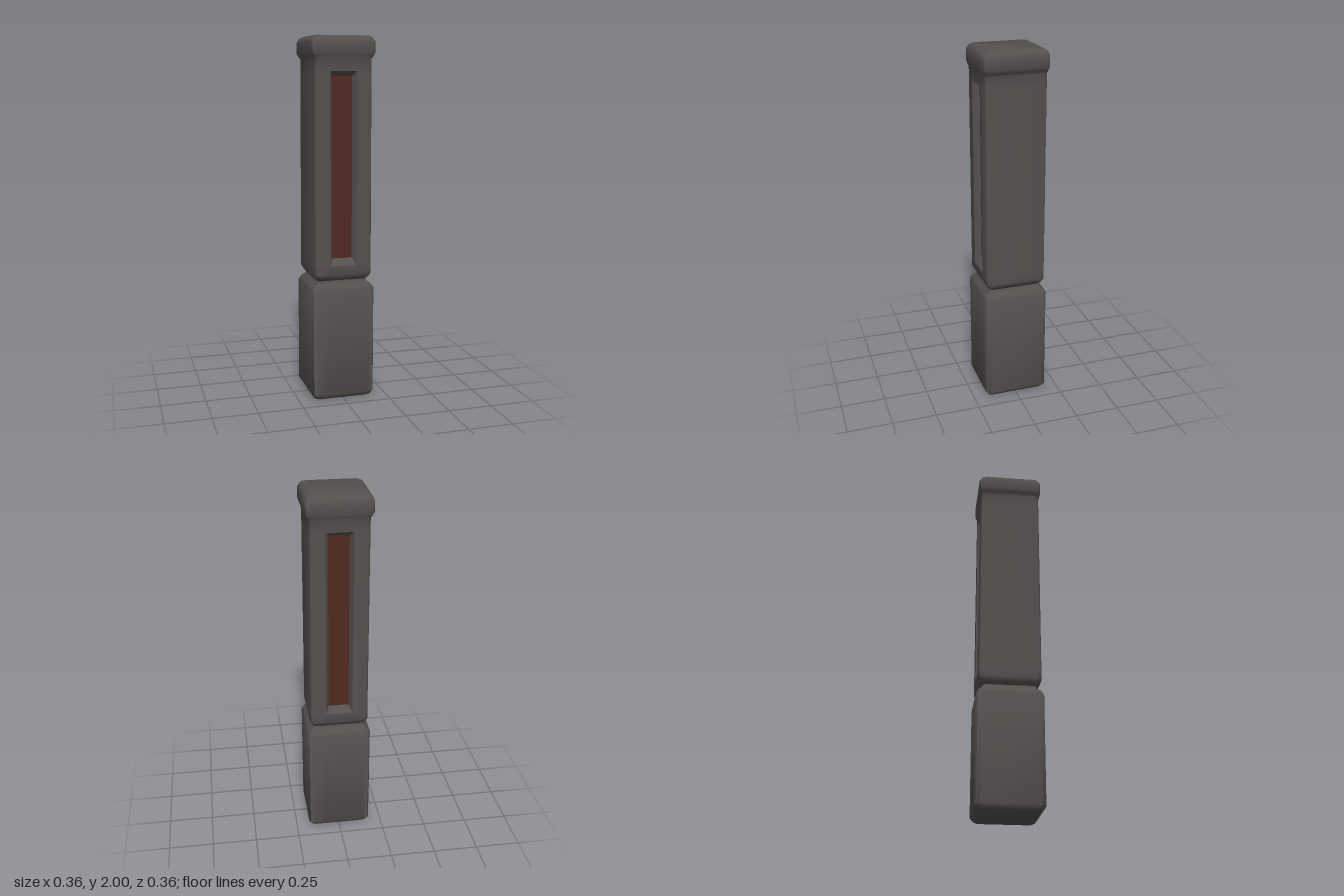
import * as THREE from 'three';
import { toCreasedNormals } from 'three/addons/utils/BufferGeometryUtils.js';

const stone = new THREE.MeshStandardMaterial({ color: 0x54504e });
stone.name = 'dark stone';
const rust = new THREE.MeshStandardMaterial({ color: 0x4f2a20 });
rust.name = 'rust panel';

// Window opening: outer rim, inner rim and depth
const OUT = { w: 0.073, y0: 0.765, y1: 1.815, z: 0.17 };
const INN = { w: 0.056, y0: 0.8, y1: 1.79, z: 0.135 };

// Profile rings: y, half width, half depth, corner size
const RINGS = [
  [0.0, 0.15, 0.152, 0.02],
  [0.008, 0.163, 0.165, 0.023],
  [0.03, 0.178, 0.181, 0.027],
  [0.625, 0.178, 0.181, 0.027],
  [0.645, 0.167, 0.17, 0.024],
  [0.663, 0.145, 0.148, 0.02],
  [0.678, 0.14, 0.144, 0.02],
  [0.692, 0.152, 0.158, 0.02],
  [0.713, 0.163, 0.17, 0.02],
  [OUT.y0, 0.162, OUT.z, 0.02],
  [OUT.y1, 0.159, OUT.z, 0.02],
  [1.88, 0.159, 0.17, 0.02],
  [1.895, 0.171, 0.176, 0.025],
  [1.91, 0.178, 0.181, 0.027],
  [1.97, 0.178, 0.181, 0.027],
  [1.992, 0.166, 0.168, 0.025],
  [2.0, 0.152, 0.154, 0.022],
];

// Rounded rectangle, half of it given and the rest turned by 180 degrees
function ring([y, hx, hz, c]) {
  const k = 0.29 * c;
  const half = [
    [-OUT.w, hz], [OUT.w, hz],
    [hx - c, hz], [hx - k, hz - k], [hx, hz - c],
    [hx, c - hz], [hx - k, k - hz], [hx - c, -hz],
  ];
  return [...half, ...half.map(([x, z]) => [-x, -z])].map(([x, z]) => [x, y, z]);
}

function geometryFrom(triangles) {
  const g = new THREE.BufferGeometry();
  g.setAttribute('position', new THREE.Float32BufferAttribute(triangles.flat(), 3));
  return toCreasedNormals(g, 0.7);
}

const quad = (a, b, c, d) => [a, b, c, a, c, d];

// Pillar shell, left open where the front and back windows sit
function pillarGeometry() {
  const rings = RINGS.map(ring);
  const n = rings[0].length;
  const tris = [];
  for (let j = 0; j < rings.length - 1; j++) {
    for (let i = 0; i < n; i++) {
      if (RINGS[j][0] === OUT.y0 && i % 8 === 0) continue;
      const k = (i + 1) % n;
      tris.push(...quad(rings[j][i], rings[j][k], rings[j + 1][k], rings[j + 1][i]));
    }
  }
  // Closed top and bottom
  const bottom = rings[0], top = rings[rings.length - 1];
  for (let i = 0; i < n; i++) {
    const k = (i + 1) % n;
    tris.push([0, 2, 0], top[i], top[k], [0, 0, 0], bottom[k], bottom[i]);
  }
  return geometryFrom(tris);
}

const corners = ({ w, y0, y1, z }) => [[-w, y0, z], [w, y0, z], [w, y1, z], [-w, y1, z]];

// Sloping walls between the two rims
function recessGeometry() {
  const o = corners(OUT), n = corners(INN);
  const tris = [];
  for (let i = 0; i < 4; i++) {
    const k = (i + 1) % 4;
    tris.push(...quad(o[i], o[k], n[k], n[i]));
  }
  return geometryFrom(tris);
}

function mesh(name, geometry, material) {
  const m = new THREE.Mesh(geometry, material);
  m.name = name;
  return m;
}

export function createModel() {
  const model = new THREE.Group();
  model.name = 'pillar';
  model.add(mesh('pillarShell', pillarGeometry(), stone));

  // The same window on front and back
  const walls = recessGeometry();
  const plate = geometryFrom(quad(...corners(INN)));
  ['frontWindow', 'backWindow'].forEach((name, i) => {
    const win = new THREE.Group();
    win.name = name;
    win.add(mesh('recessWalls', walls, stone), mesh('recessPanel', plate, rust));
    win.rotation.y = i * Math.PI;
    model.add(win);
  });
  return model;
}
